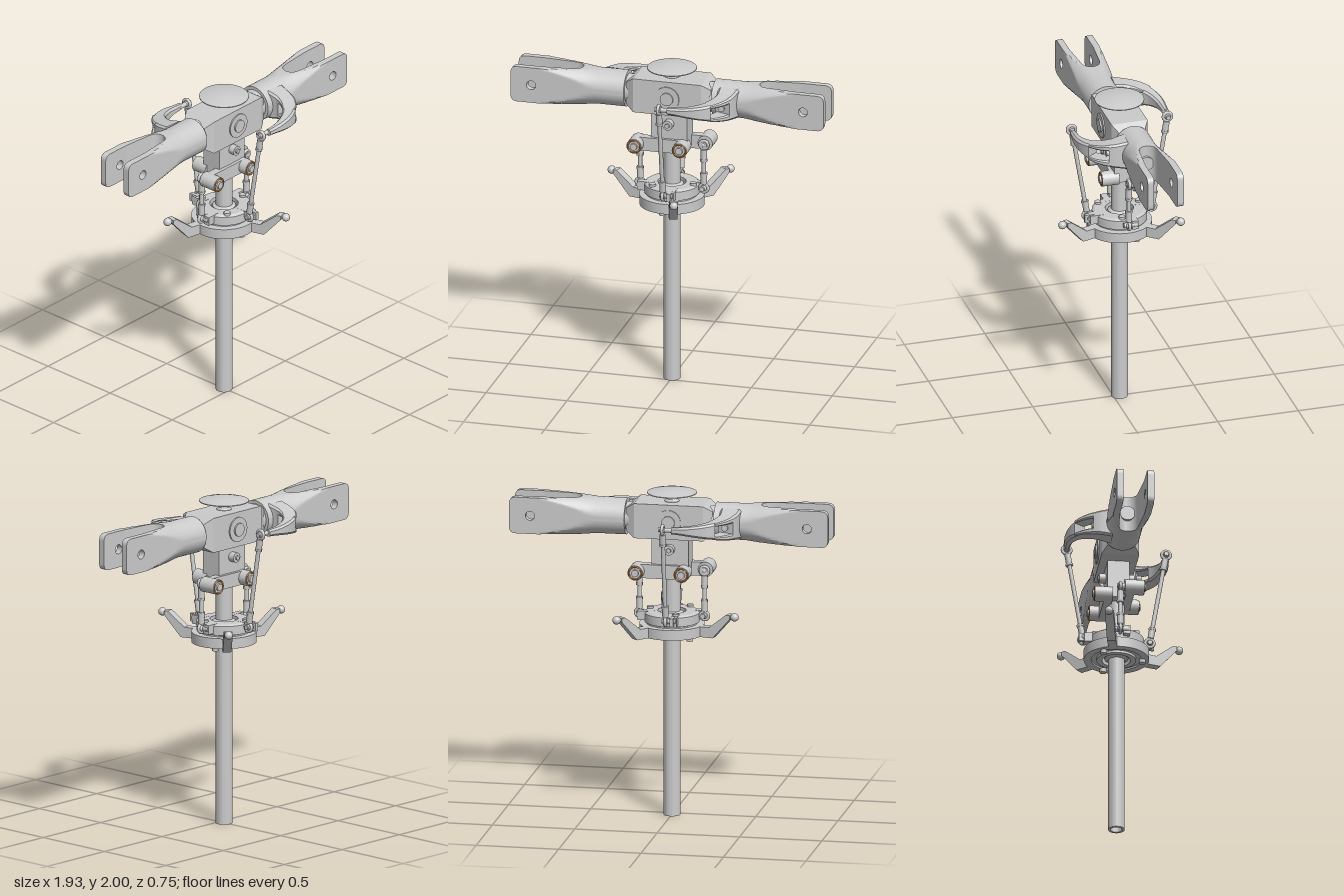
import * as THREE from 'three';
import { toCreasedNormals } from 'three/addons/utils/BufferGeometryUtils.js';
import { ConvexGeometry } from 'three/addons/geometries/ConvexGeometry.js';

const V = (x, y, z) => new THREE.Vector3(x, y, z);
const grey = new THREE.MeshStandardMaterial({ color: 0xcccccc });
const orange = new THREE.MeshStandardMaterial({ color: 0xc07a3a });
const HEAD = 1.82; // height of the blade axis

function add(parent, name, geometry, material = grey) {
  const mesh = new THREE.Mesh(geometry, material);
  mesh.name = name;
  parent.add(mesh);
  return mesh;
}

function box(parent, name, w, h, d, x, y, z) {
  const m = add(parent, name, new THREE.BoxGeometry(w, h, d));
  m.position.set(x, y, z);
  return m;
}

// Cylinder between two points
function rod(parent, name, a, b, r, sides = 24, r2 = r) {
  const m = add(parent, name, new THREE.CylinderGeometry(r2, r, a.distanceTo(b), sides));
  m.position.copy(a).lerp(b, 0.5);
  m.quaternion.setFromUnitVectors(V(0, 1, 0), b.clone().sub(a).normalize());
  return m;
}

function lathe(parent, name, pts, segments = 48) {
  const g = new THREE.LatheGeometry(pts.map(p => new THREE.Vector2(...p)), segments);
  return add(parent, name, toCreasedNormals(g, 0.5));
}

// Skin over closed rings, capped at both ends and turned outward
function loft(rings) {
  const tris = [], n = rings[0].length;
  for (let i = 0; i + 1 < rings.length; i++) {
    for (let j = 0; j < n; j++) {
      const k = (j + 1) % n, A = rings[i], B = rings[i + 1];
      tris.push([A[j], B[j], B[k]], [A[j], B[k], A[k]]);
    }
  }
  for (const [ring, flip] of [[rings[0], false], [rings[rings.length - 1], true]]) {
    const c = ring.reduce((s, p) => s.add(p), V(0, 0, 0)).divideScalar(n);
    for (let j = 0; j < n; j++) {
      const k = (j + 1) % n;
      tris.push(flip ? [c, ring[k], ring[j]] : [c, ring[j], ring[k]]);
    }
  }
  const o = rings[0][0];
  let volume = 0;
  for (const [a, b, c] of tris) {
    volume += a.clone().sub(o).dot(b.clone().sub(o).cross(c.clone().sub(o)));
  }
  const pts = tris.flatMap(([a, b, c]) => (volume < 0 ? [a, c, b] : [a, b, c]));
  return toCreasedNormals(new THREE.BufferGeometry().setFromPoints(pts), 0.5);
}

// Ball link: an eye with a ball at each end, sleeves and a thin rod
function link(parent, name, a, b, axis, eye) {
  const g = new THREE.Group();
  g.name = name;
  parent.add(g);
  for (const p of [a, b]) {
    const ring = add(g, 'linkEye', new THREE.TorusGeometry(eye * 0.78, eye * 0.3, 10, 28));
    ring.position.copy(p);
    if (axis === 'x') ring.rotation.y = Math.PI / 2;
    add(g, 'linkBall', new THREE.SphereGeometry(eye * 0.6, 20, 14)).position.copy(p);
  }
  const len = a.distanceTo(b), at = d => a.clone().lerp(b, d / len);
  rod(g, 'linkRod', at(eye), at(len - eye), 0.013, 16);
  for (const [s, e] of [[eye * 0.9, 0.1], [len - 0.1, len - eye * 0.9]]) {
    rod(g, 'linkSleeve', at(s), at(e), 0.019, 16);
  }
  for (const d of [0.09, len - 0.1]) rod(g, 'linkNut', at(d), at(d + 0.015), 0.023, 6);
}

// Blade grip: round root growing into a square fork
function bladeGrip(parent) {
  const g = new THREE.Group();
  g.name = 'bladeGrip';
  g.position.y = HEAD;
  parent.add(g);
  const slot = x => x <= 0.545 ? 0
    : x < 0.6 ? 0.055 * Math.sqrt(1 - ((0.6 - x) / 0.055) ** 2)
    : 0.055 + (x - 0.6) * 0.09;
  const xs = [0.27, 0.45, 0.5, 0.545, 0.547, 0.552, 0.56, 0.575, 0.6, 0.63, 0.66, 0.69, 0.72, 0.75, 0.785];
  for (const side of [1, -1]) {
    const rings = xs.map(x => {
      const r = 0.11 * (1 + 0.43 * THREE.MathUtils.clamp((x - 0.46) / 0.32, 0, 1));
      const ring = [];
      for (let i = 0; i <= 36; i++) {
        const t = (i / 36 - 0.5) * Math.PI;
        const z = Math.max(slot(x), Math.min(0.112, r * Math.cos(t)));
        ring.push(V(x, THREE.MathUtils.clamp(r * Math.sin(t), -0.111, 0.111), side * z));
      }
      return ring;
    });
    add(g, 'gripHalf', loft(rings));

    // Flat prong end with rounded corners and bolt hole
    const s = new THREE.Shape();
    s.moveTo(0.785, -0.111);
    s.lineTo(0.925, -0.111);
    s.quadraticCurveTo(0.967, -0.111, 0.967, -0.07);
    s.lineTo(0.967, 0.07);
    s.quadraticCurveTo(0.967, 0.111, 0.925, 0.111);
    s.lineTo(0.785, 0.111);
    s.holes.push(new THREE.Path().absarc(0.84, 0, 0.028, 0, Math.PI * 2, true));
    const prong = new THREE.ExtrudeGeometry(s, { depth: 0.04, bevelEnabled: false, curveSegments: 16 });
    add(g, 'gripProng', prong).position.z = side > 0 ? 0.072 : -0.112;
  }
  rod(g, 'gripSpindle', V(0.2, 0, 0), V(0.28, 0, 0), 0.09, 32);
  rod(g, 'spindleBolt', V(0.53, 0, 0), V(0.565, 0, 0), 0.045, 24);
}

// Curved pitch arm with a window through its root
function pitchArm(parent) {
  const g = new THREE.Group();
  g.name = 'pitchArm';
  g.position.y = HEAD;
  parent.add(g);
  const curve = new THREE.CatmullRomCurve3([V(0.372, 0, 0.07), V(0.365, 0, 0.15), V(0.335, 0, 0.215),
    V(0.27, 0, 0.27), V(0.18, 0, 0.3), V(0.055, 0, 0.305)]);
  const high = t => 0.02 + 0.072 * (1 - t) ** 1.4;
  const bar = (t0, t1, lo, hi) => {
    const rings = [];
    for (let i = 0; i <= 12; i++) {
      const t = t0 + (t1 - t0) * i / 12, p = curve.getPointAt(t), d = curve.getTangentAt(t);
      const w = 0.018 + 0.046 * (1 - t) ** 1.2, y0 = lo(t), y1 = hi(t);
      const c = Math.min(0.012, (y1 - y0) * 0.25);
      const corners = [[w, y0 + c], [w, y1 - c], [w - c, y1], [c - w, y1],
        [-w, y1 - c], [-w, y0 + c], [c - w, y0], [w - c, y0]];
      rings.push(corners.map(([s, y]) => V(p.x + d.z * s, y, p.z - d.x * s)));
    }
    add(g, 'armSection', loft(rings));
  };
  const low = t => -high(t);
  bar(0, 0.22, low, high);
  bar(0.22, 0.46, () => 0.032, high);
  bar(0.22, 0.46, low, () => -0.032);
  bar(0.46, 1, low, high);
  rod(g, 'windowScrew', V(0.355, 0, 0.1), V(0.355, 0, 0.19), 0.02, 16);
  rod(g, 'armPin', V(0.07, 0, 0.298), V(-0.025, 0, 0.298), 0.014, 16);
}

// Mixing lever with bearings, and the link down to the swashplate
function mixingLever(parent) {
  const g = new THREE.Group();
  g.name = 'mixingLever';
  parent.add(g);
  const y = 1.506;
  box(g, 'leverBar', 0.28, 0.084, 0.05, -0.06, y, 0.06);
  for (const [x, z0, z1] of [[-0.197, 0.025, 0.14], [0.083, 0.035, 0.14]]) {
    rod(g, 'leverBearing', V(x, y, z0), V(x, y, z1), 0.046, 32);
    const ring = add(g, 'bearingRing', new THREE.TorusGeometry(0.038, 0.005, 8, 32), orange);
    ring.position.set(x, y, z1);
    rod(g, 'bearingScrew', V(x, y, -0.015), V(x, y, z1 + 0.013), 0.022, 16);
  }
  link(g, 'mixingLink', V(-0.197, y, 0), V(-0.197, 1.23, 0), 'z', 0.032);
}

export function createModel() {
  const model = new THREE.Group();
  const head = new THREE.Group();
  head.name = 'rotorHead';
  head.position.z = -0.038;
  model.add(head);

  lathe(head, 'mainShaft', [[0.034, 0], [0.05, 0], [0.05, 1.9], [0.034, 1.9], [0.034, 0]]);
  lathe(head, 'topCap', [[0, 1.9], [0.045, 1.9], [0.045, 1.928], [0.032, 1.94], [0.028, 1.958],
    [0.06, 1.968], [0.148, 1.976], [0.148, 1.981], [0.1, 1.992], [0.05, 1.998], [0.025, 2], [0, 2]]);
  rod(head, 'capScrew', V(0, 1.97, 0), V(0, 2, 0), 0.022, 6);

  // Hub block with chamfered ends
  const hubPoints = [];
  for (const [x, h, d] of [[0.21, 0.106, 0.112], [0.262, 0.07, 0.08]]) {
    for (const i of [-1, 1]) for (const j of [-1, 1]) for (const k of [-1, 1]) {
      hubPoints.push(V(i * x, j * h, k * d));
    }
  }
  add(head, 'hubBlock', new ConvexGeometry(hubPoints)).position.y = HEAD;
  box(head, 'hubYoke', 0.224, 0.25, 0.13, 0, 1.605, 0);

  // Parts repeated half a turn apart
  for (const turn of [0, Math.PI]) {
    const half = new THREE.Group();
    half.name = 'headHalf';
    half.rotation.y = turn;
    head.add(half);
    bladeGrip(half);
    pitchArm(half);
    mixingLever(half);
    link(half, 'pitchLink', V(0, HEAD, 0.298), V(0, 1.235, 0.2), 'x', 0.033);
    rod(half, 'hubBoss', V(0, HEAD, 0.1), V(0, HEAD, 0.12), 0.075, 36);
    rod(half, 'hubBolt', V(0, HEAD, 0.1), V(0, HEAD, 0.13), 0.04, 24);
    rod(half, 'yokeScrew', V(0, 1.645, 0.05), V(0, 1.645, 0.105), 0.03, 20);
    rod(half, 'yokeScrewShank', V(0, 1.645, 0), V(0, 1.645, 0.115), 0.015, 6);
    // Upper swashplate lugs and their pins
    box(half, 'linkLug', 0.06, 0.055, 0.1, 0.035, 1.228, 0.15);
    rod(half, 'linkLugPin', V(0.06, 1.235, 0.2), V(-0.022, 1.235, 0.2), 0.014, 16);
    box(half, 'linkLugEar', 0.022, 0.05, 0.06, 0.04, 1.233, 0.2);
    box(half, 'mixingLug', 0.1, 0.055, 0.04, 0.15, 1.228, -0.04);
    rod(half, 'mixingLugPin', V(0.19, 1.23, -0.055), V(0.19, 1.23, 0.03), 0.016, 16);
  }

  // Swashplate: outer ring, bearing, upper ring and centre ball
  lathe(head, 'outerRing', [[0.15, 1.115], [0.195, 1.115], [0.195, 1.178], [0.15, 1.178], [0.15, 1.115]]);
  lathe(head, 'bearingRace', [[0.115, 1.125], [0.152, 1.125], [0.152, 1.185], [0.115, 1.185], [0.115, 1.125]]);
  lathe(head, 'upperRing', [[0.085, 1.11], [0.118, 1.11], [0.118, 1.18], [0.165, 1.19], [0.165, 1.245],
    [0.15, 1.255], [0.085, 1.255], [0.085, 1.11]]);
  lathe(head, 'centreBall', [[0.052, 1.11], [0.07, 1.12], [0.084, 1.15], [0.088, 1.18], [0.084, 1.215],
    [0.07, 1.245], [0.052, 1.255], [0.052, 1.11]]);

  // Three cranked control arms with ball ends
  const crank = new THREE.Shape([[0.17, 1.115], [0.275, 1.115], [0.385, 1.24], [0.385, 1.265],
    [0.36, 1.265], [0.25, 1.178], [0.17, 1.178]].map(p => new THREE.Vector2(...p)));
  for (let i = 0; i < 3; i++) {
    const arm = new THREE.Group();
    arm.name = 'controlArm';
    arm.rotation.y = -THREE.MathUtils.degToRad(73 + i * 120);
    head.add(arm);
    const g = new THREE.ExtrudeGeometry(crank, { depth: 0.052, bevelEnabled: false });
    add(arm, 'armCrank', g).position.z = -0.026;
    rod(arm, 'ballStud', V(0.37, 1.252, 0), V(0.41, 1.252, 0), 0.014, 16);
    add(arm, 'armBall', new THREE.SphereGeometry(0.025, 20, 14)).position.set(0.408, 1.252, 0);
    const a = 0.4;
    const sx = 0.155 * Math.cos(a), sz = 0.155 * Math.sin(a);
    rod(arm, 'ringScrew', V(sx, 1.093, sz), V(sx, 1.12, sz), 0.02, 16);
    rod(arm, 'topScrew', V(0.14 * Math.cos(1), 1.25, 0.14 * Math.sin(1)),
      V(0.14 * Math.cos(1), 1.268, 0.14 * Math.sin(1)), 0.02, 16);
  }
  return model;
}
